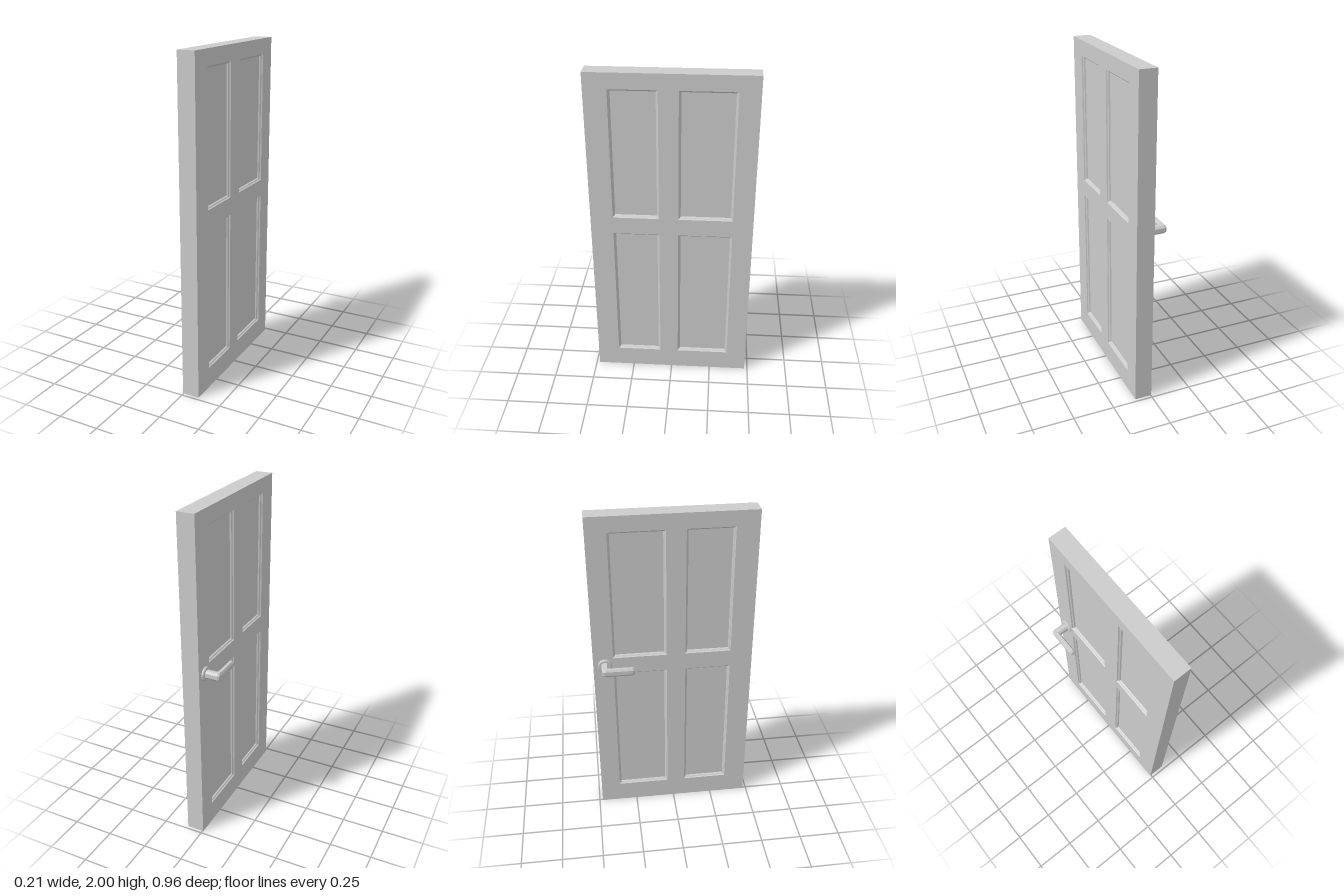
import * as THREE from 'three';

const material = new THREE.MeshStandardMaterial({ color: 0xcccccc, flatShading: true });

// Joins equal-length rings of points into a skin; the last ring can be capped.
function loft(rings, cap) {
  const pos = [];
  const tri = (...pts) => pts.forEach((p) => pos.push(...p));
  for (let r = 0; r < rings.length - 1; r++) {
    const a = rings[r], b = rings[r + 1];
    a.forEach((p, i) => {
      const j = (i + 1) % a.length;
      tri(p, a[j], b[j]);
      tri(p, b[j], b[i]);
    });
  }
  const end = rings[rings.length - 1];
  if (cap) for (let i = 1; i < end.length - 1; i++) tri(end[0], end[i], end[i + 1]);
  const geo = new THREE.BufferGeometry();
  geo.setAttribute('position', new THREE.Float32BufferAttribute(pos, 3));
  geo.computeVertexNormals();
  return geo;
}

function addMesh(parent, name, geo) {
  const mesh = new THREE.Mesh(geo, material);
  mesh.name = name;
  parent.add(mesh);
  return mesh;
}

const corners = (u0, u1, v0, v1) => [[u0, v0], [u1, v0], [u1, v1], [u0, v1]];
const rectRing = (u0, u1, v0, v1, w) => corners(u0, u1, v0, v1).map(([u, v]) => [u, v, w]);

const HALF_WIDTH = 0.48, HEIGHT = 2, HALF_THICK = 0.0525, CENTRE_X = 0.0485;
const COLUMNS = [[-0.36, -0.04], [0.073, 0.347]]; // panel ranges in z
const ROWS = [[0.13, 1.013], [1.12, 1.908]];      // panel ranges in y
const MOULDING = [[0, 0], [0.003, 0.007], [0.01, 0.012], [0.013, 0.02]]; // inset, depth

// One broad side of the door: frame with openings, and moulded sunken panels.
function doorSide(name, dir) {
  const side = new THREE.Group();
  side.name = name;
  const toPath = (pts) => pts.map(([u, v]) => new THREE.Vector2(u, v));
  const frame = new THREE.Shape(toPath(corners(-HALF_WIDTH, HALF_WIDTH, 0, HEIGHT)));
  for (const [z0, z1] of COLUMNS) {
    const [u0, u1] = dir > 0 ? [-z1, -z0] : [z0, z1];
    for (const [v0, v1] of ROWS) {
      frame.holes.push(new THREE.Path(toPath(corners(u0, u1, v0, v1))));
      const rings = MOULDING.map(([i, d]) => rectRing(u0 + i, u1 - i, v0 + i, v1 - i, HALF_THICK - d));
      addMesh(side, 'sunkenPanel', loft(rings, true));
    }
  }
  addMesh(side, 'frameFace', new THREE.ShapeGeometry(frame)).position.z = HALF_THICK;
  side.rotation.y = dir * Math.PI / 2;
  return side;
}

// Lever with an eight-sided section, bent at a mitred elbow.
function leverGeometry(y) {
  const stations = [ // outer x, outer z, inner x, inner z, half height
    [-0.004, -0.432, -0.004, -0.388, 0.024],
    [-0.090, -0.432, -0.073, -0.389, 0.024],
    [-0.100, -0.428, -0.073, -0.389, 0.024],
    [-0.104, -0.418, -0.073, -0.388, 0.024],
    [-0.104, -0.252, -0.073, -0.252, 0.024],
    [-0.100, -0.242, -0.077, -0.242, 0.019],
    [-0.094, -0.238, -0.083, -0.238, 0.012],
  ];
  const section = [[1, -0.5], [1, 0.5], [0.5, 1], [-0.5, 1], [-1, 0.5], [-1, -0.5], [-0.5, -1], [0.5, -1]];
  const rings = stations.map(([ox, oz, ix, iz, h]) => section.map(([s, t]) => [
    (ox + ix) / 2 + s * (ix - ox) / 2,
    y + t * h,
    (oz + iz) / 2 + s * (iz - oz) / 2,
  ]));
  return loft(rings, true);
}

export function createModel() {
  const model = new THREE.Group();
  model.name = 'door';

  // Door leaf
  const leaf = new THREE.Group();
  leaf.name = 'doorLeaf';
  leaf.position.x = CENTRE_X;
  leaf.add(doorSide('plainSide', 1), doorSide('handleSide', -1));
  const edgeRings = [-1, 1].map((s) => rectRing(-HALF_WIDTH, HALF_WIDTH, 0, HEIGHT, s * HALF_THICK));
  addMesh(leaf, 'leafEdges', loft(edgeRings, false)).rotation.y = Math.PI / 2;
  model.add(leaf);

  // Handle on the -x side
  const handle = new THREE.Group();
  handle.name = 'handle';
  const handleY = 1.075;
  const profile = [[0.042, 0], [0.042, 0.008], [0.036, 0.013], [0, 0.013]].map(([r, h]) => new THREE.Vector2(r, h));
  const rosette = addMesh(handle, 'rosette', new THREE.LatheGeometry(profile, 16));
  rosette.rotation.z = Math.PI / 2;
  rosette.position.set(CENTRE_X - HALF_THICK, handleY, -0.411);
  addMesh(handle, 'lever', leverGeometry(handleY));
  model.add(handle);

  return model;
}
